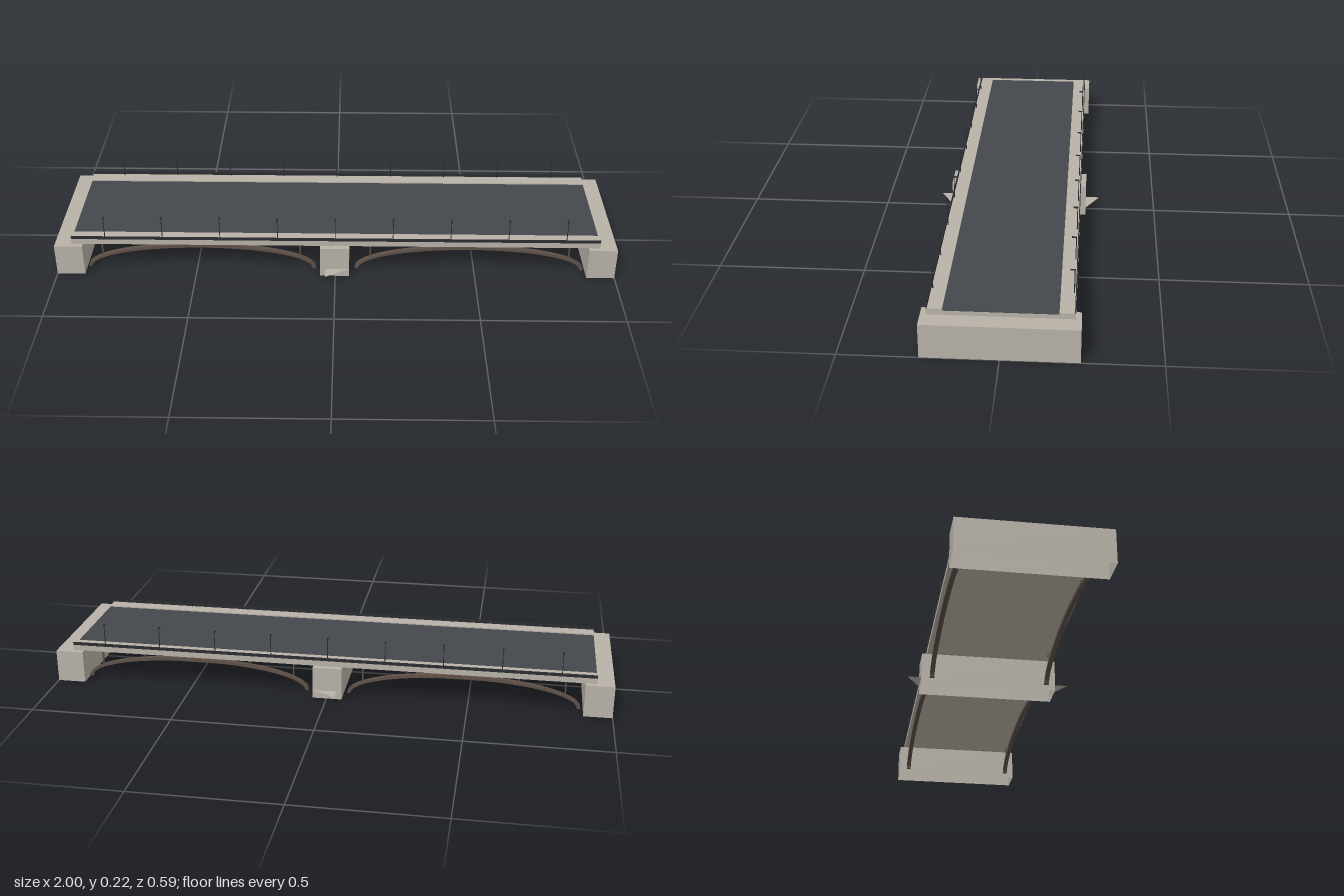
import * as THREE from 'three';

const mat = (name, color, side = THREE.FrontSide) => {
  const m = new THREE.MeshStandardMaterial({ color, side });
  m.name = name;
  return m;
};

export function createModel() {
  const bridge = new THREE.Group();
  bridge.name = 'archBridge';
  const concrete = mat('concrete', 0xb8b2a7, THREE.DoubleSide);
  const asphalt = mat('asphalt', 0x44474c);
  const darkMetal = mat('darkMetal', 0x2a2c30);
  const archSteel = mat('archSteel', 0x5e5047);

  const add = (name, geo, material, x = 0, y = 0, z = 0) => {
    const mesh = new THREE.Mesh(geo, material);
    mesh.name = name;
    mesh.position.set(x, y, z);
    bridge.add(mesh);
    return mesh;
  };
  // Box given by its centre in x and z and its bottom and top in y
  const block = (name, material, x, z, w, d, y0, y1) =>
    add(name, new THREE.BoxGeometry(w, y1 - y0, d), material, x, (y0 + y1) / 2, z);
  // Block that is hollow and open underneath
  const shell = (name, x, w, d, h) => {
    const geo = new THREE.BoxGeometry(w, h, d);
    const index = Array.from(geo.index.array);
    index.splice(18, 6);
    geo.setIndex(index);
    geo.clearGroups();
    add(name, geo, concrete, x, h / 2, 0);
  };

  // Supports
  const supportTop = 0.117;
  shell('rightAbutment', -0.95, 0.1, 0.492, supportTop);
  shell('leftAbutment', 0.95, 0.1, 0.492, supportTop);
  shell('centrePier', -0.002, 0.104, 0.492, supportTop);
  block('pierSoffit', concrete, -0.002, 0, 0.1, 0.488, 0.06, 0.064);

  // Deck and road surface
  block('deckSlab', concrete, 0, 0, 1.88, 0.456, supportTop, 0.131);
  block('roadSurface', asphalt, 0, 0, 1.878, 0.356, 0.131, 0.133);

  // Arch rib cross-section between two half ellipses
  const baseY = 0.014, outer = [0.41, 0.096], inner = [0.398, 0.084];
  const rib = new THREE.Shape();
  rib.moveTo(outer[0], 0);
  rib.absellipse(0, 0, outer[0], outer[1], 0, Math.PI, false);
  rib.lineTo(-inner[0], 0);
  rib.absellipse(0, 0, inner[0], inner[1], Math.PI, 0, true);
  const ribGeo = new THREE.ExtrudeGeometry(rib, { depth: 0.016, bevelEnabled: false, curveSegments: 32 });
  ribGeo.translate(0, 0, -0.008);

  for (const side of [1, -1]) {
    // Flat pointed plate at the pier nose
    const nose = new THREE.Shape([
      new THREE.Vector2(-0.036, 0.245 * side),
      new THREE.Vector2(0.052, 0.245 * side),
      new THREE.Vector2(-0.036, 0.296 * side),
    ]);
    const noseGeo = new THREE.ShapeGeometry(nose);
    noseGeo.rotateX(Math.PI / 2);
    add('pierNose', noseGeo, concrete, 0, 0.03, 0);

    // Pavement and parapet rail
    block('pavement', concrete, 0, 0.203 * side, 1.88, 0.05, 0.131, 0.137);
    block('parapetRail', darkMetal, 0, 0.2262 * side, 1.88, 0.003, 0.137, 0.148);

    // Street lamps with arms reaching over the road
    for (let i = -4; i <= 4; i++) {
      const x = i * 0.205;
      const pole = new THREE.CylinderGeometry(0.0013, 0.0018, 0.081, 6);
      add('lampPole', pole, darkMetal, x, 0.1775, 0.2205 * side);
      block('lampHead', darkMetal, x, 0.2145 * side, 0.006, 0.016, 0.217, 0.22);
    }

    // Arch ribs with spandrel posts up to the deck
    for (const centre of [-0.48, 0.48]) {
      add('archRib', ribGeo, archSteel, centre, baseY, 0.21 * side);
      for (const dx of [-0.355, -0.195, 0.195, 0.355]) {
        const y = baseY + inner[1] * Math.sqrt(1 - (dx / inner[0]) ** 2) + 0.006;
        block('spandrelPost', archSteel, centre + dx, 0.21 * side, 0.005, 0.006, y, supportTop);
      }
    }
  }
  return bridge;
}
